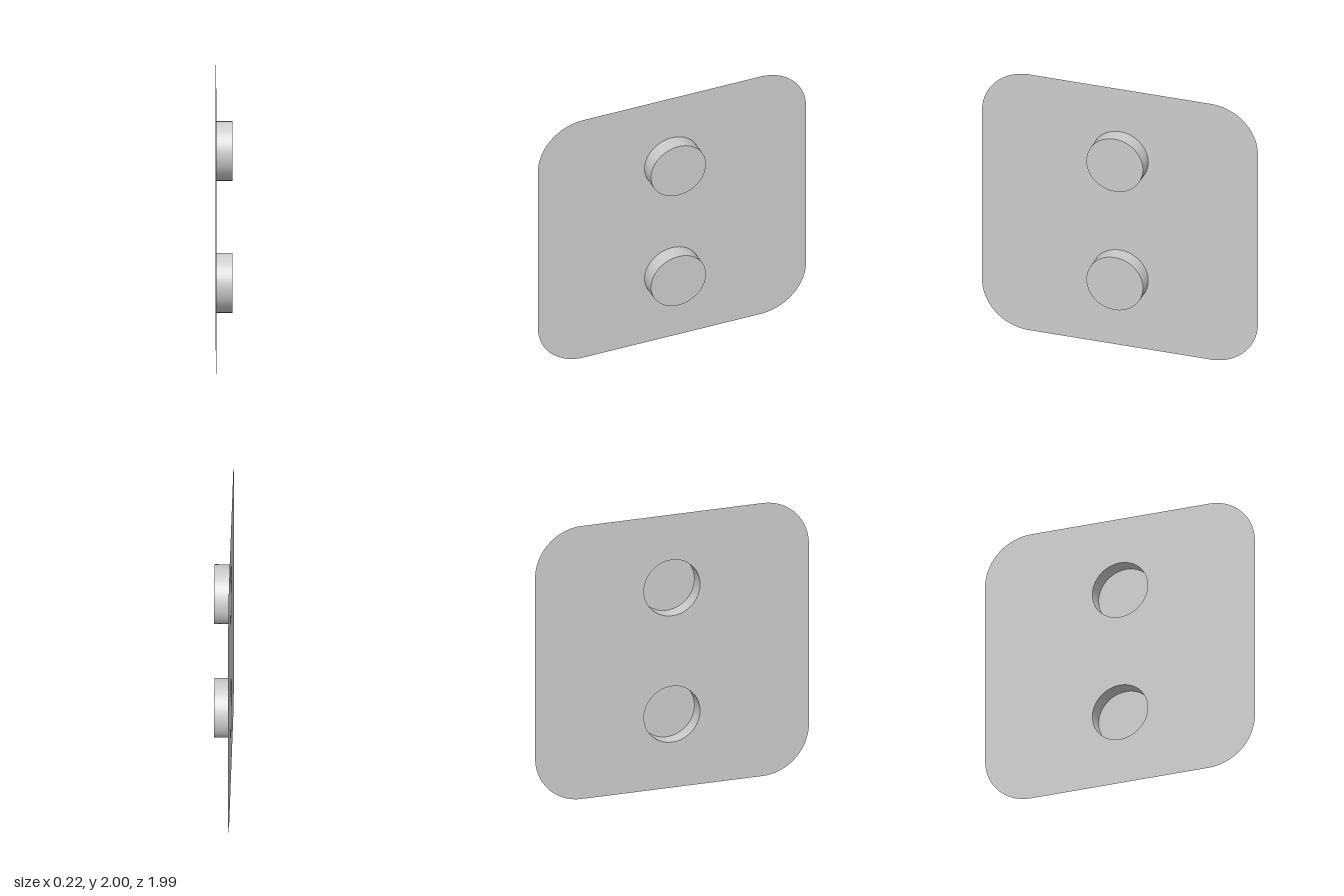
import * as THREE from 'three';

export function createModel() {
  const model = new THREE.Group();
  const material = new THREE.MeshStandardMaterial({ color: 0xcccccc, side: THREE.DoubleSide });
  const half = 1, corner = 0.34, radius = 0.205, depth = 0.114;
  const studHeights = [0.463, -0.463];

  // Everything is built in the sheet's own plane, then turned to face +x with a slight yaw
  const panel = new THREE.Group();
  panel.name = 'panel';
  panel.position.set(-0.025, 1, 0);
  panel.rotation.y = Math.PI / 2 + 0.085;
  model.add(panel);

  const add = (name, geometry, parent = panel) => {
    const mesh = new THREE.Mesh(geometry, material);
    mesh.name = name;
    parent.add(mesh);
    return mesh;
  };

  // Thin rounded square sheet, open behind each stud
  const outline = new THREE.Shape();
  const c = half - corner;
  [[c, c], [-c, c], [-c, -c], [c, -c]].forEach(([x, y], i) => {
    outline.absarc(x, y, corner, i * Math.PI / 2, (i + 1) * Math.PI / 2, false);
  });
  for (const y of studHeights) {
    outline.holes.push(new THREE.Path().absarc(0, y, radius, 0, Math.PI * 2, true));
  }
  add('sheet', new THREE.ShapeGeometry(outline, 24));

  // Hollow round studs: an open wall closed by a flat cap
  studHeights.forEach((y, i) => {
    const stud = new THREE.Group();
    stud.name = i === 0 ? 'upperStud' : 'lowerStud';
    stud.position.y = y;
    panel.add(stud);
    const wall = new THREE.CylinderGeometry(radius, radius, depth, 48, 1, true);
    wall.rotateX(Math.PI / 2).translate(0, 0, depth / 2);
    add('studWall', wall, stud);
    add('studCap', new THREE.CircleGeometry(radius, 48), stud).position.z = depth;
  });

  return model;
}
